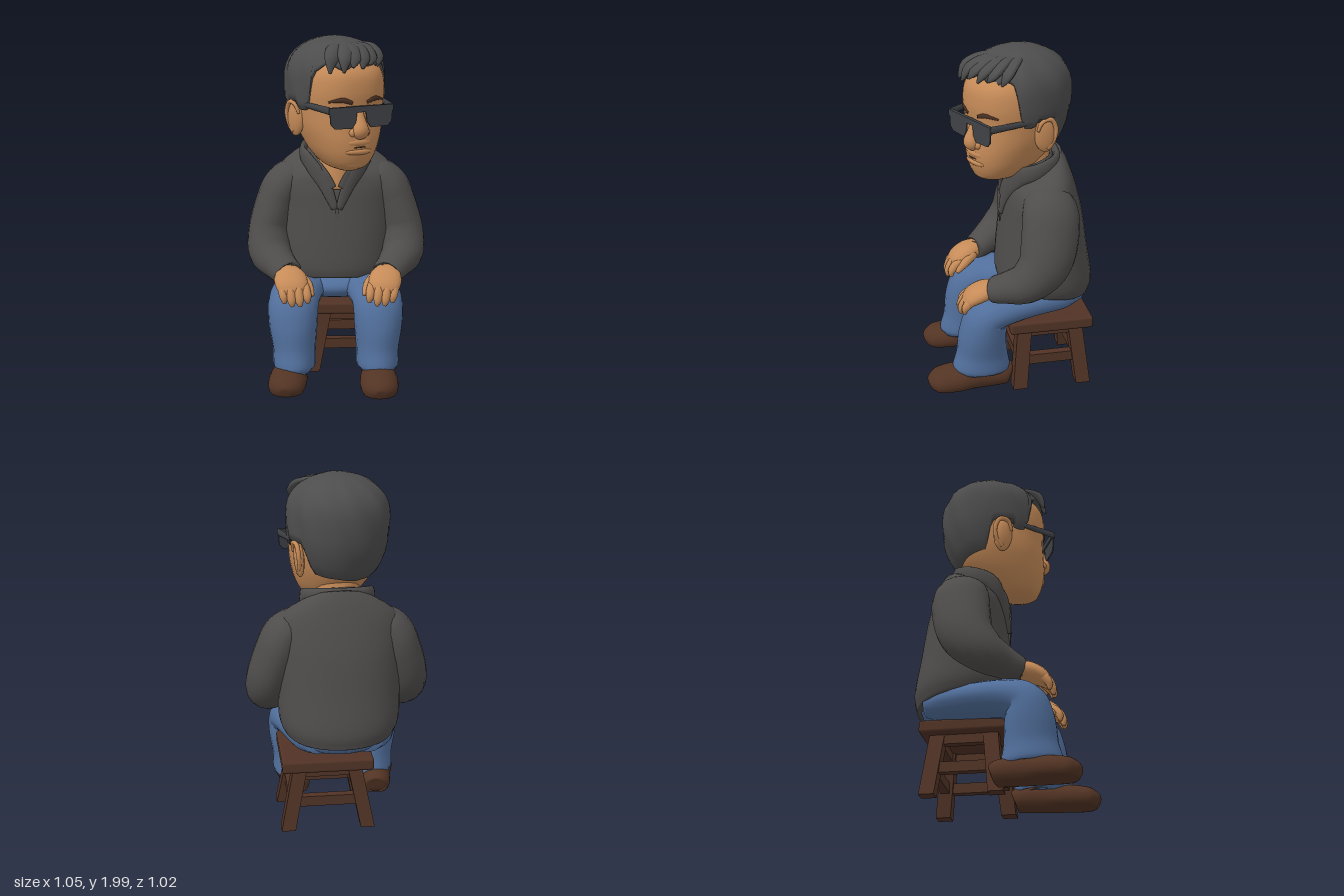
import * as THREE from 'three';
import { RoundedBoxGeometry } from 'three/addons/geometries/RoundedBoxGeometry.js';

const mat = (name, color) => Object.assign(new THREE.MeshStandardMaterial({ color }), { name });
const M = {
  skin: mat('skin', 0xc68b58),
  knit: mat('charcoal knit', 0x4f4d4c),
  hair: mat('dark grey hair', 0x4e4d4d),
  denim: mat('blue denim', 0x516f9c),
  wood: mat('brown wood', 0x513325),
  leather: mat('brown leather', 0x533424),
  glasses: mat('smoky glasses', 0x404246),
  line: mat('brow brown', 0x4a3022),
};
const X = new THREE.Vector3(1, 0, 0), Y = new THREE.Vector3(0, 1, 0);

function add(parent, name, geo, material, x = 0, y = 0, z = 0) {
  const m = new THREE.Mesh(geo, material);
  m.name = name;
  m.position.set(x, y, z);
  parent.add(m);
  return m;
}

// Catmull-Rom interpolation of rows of numbers
function smooth(rows, n = 5) {
  const out = [], last = rows.length - 1;
  for (let i = 0; i < last; i++) {
    const [p, q, r, s] = [rows[Math.max(i - 1, 0)], rows[i], rows[i + 1], rows[Math.min(i + 2, last)]];
    for (let k = 0; k < n; k++) {
      const t = k / n;
      out.push(q.map((_, c) => q[c] + 0.5 * t * (r[c] - p[c] +
        t * (2 * p[c] - 5 * q[c] + 4 * r[c] - s[c] + t * (3 * (q[c] - r[c]) + s[c] - p[c])))));
    }
  }
  out.push(rows[last]);
  return out;
}

// Closed skin over rings of points, with a fan at each end
function loft(rings) {
  const n = rings[0].length, pos = [], idx = [];
  rings.forEach(r => r.forEach(p => pos.push(p.x, p.y, p.z)));
  for (let i = 0; i < rings.length - 1; i++) for (let j = 0; j < n; j++) {
    const a = i * n + j, b = i * n + (j + 1) % n;
    idx.push(a, b, b + n, a, b + n, a + n);
  }
  [0, rings.length - 1].forEach(e => {
    const c = new THREE.Vector3();
    rings[e].forEach(p => c.addScaledVector(p, 1 / n));
    const ci = pos.length / 3;
    pos.push(c.x, c.y, c.z);
    for (let j = 0; j < n; j++) {
      const a = e * n + j, b = e * n + (j + 1) % n;
      idx.push(ci, e ? a : b, e ? b : a);
    }
  });
  const g = new THREE.BufferGeometry();
  g.setAttribute('position', new THREE.Float32BufferAttribute(pos, 3));
  g.setIndex(idx);
  g.computeVertexNormals();
  return g;
}

// Tapered limb along rows of [x, y, z, radiusU, radiusV]
function limb(rows, ref = X, sides = 18, steps = 5) {
  const s = smooth(rows, steps), at = r => new THREE.Vector3(r[0], r[1], r[2]);
  return loft(s.map((r, i) => {
    const T = at(s[Math.min(i + 1, s.length - 1)]).sub(at(s[Math.max(i - 1, 0)])).normalize();
    const u = ref.clone().addScaledVector(T, -ref.dot(T)).normalize();
    const v = T.clone().cross(u);
    return Array.from({ length: sides }, (_, j) => {
      const a = j / sides * Math.PI * 2;
      return at(r).addScaledVector(u, r[3] * Math.cos(a)).addScaledVector(v, r[4] * Math.sin(a));
    });
  }));
}

// Upright body from rows of [y, centreZ, halfWidth, halfDepth, tilt]
const sup = (v, e) => Math.sign(v) * Math.abs(v) ** (2 / e);
function body(rows, e = 2.3, sides = 36) {
  return loft(smooth(rows).map(([y, cz, rx, rz, tilt]) => Array.from({ length: sides }, (_, j) => {
    const a = j / sides * Math.PI * 2, z = rz * sup(Math.cos(a), e);
    return new THREE.Vector3(rx * sup(Math.sin(a), e), y - tilt * z, cz + z);
  })));
}

const flip = (rows, sx) => rows.map(([x, ...r]) => [x * sx, ...r]);
const band = half => [...half, ...flip(half.slice(0, -1).reverse(), -1)];

function hairGeometry() {
  // lower edge by angle from the front, in degrees
  const hem = [[0, 1.85], [54, 1.83], [62, 1.6], [75, 1.59], [80, 1.64], [102, 1.63], [110, 1.46], [180, 1.42]];
  const hemY = deg => {
    const i = Math.max(1, hem.findIndex(h => h[0] >= Math.abs(deg)));
    const [a, b] = [hem[i - 1], hem[i]];
    return THREE.MathUtils.mapLinear(Math.abs(deg), a[0], b[0], a[1], b[1]);
  };
  const rings = [], N = 90, V = 14;
  for (let v = -1; v <= V; v++) {
    rings.push(Array.from({ length: N }, (_, j) => {
      let deg = j / N * 360;
      if (deg > 180) deg -= 360;
      const a = deg * Math.PI / 180, front = Math.abs(deg) < 54;
      const h = hemY(deg) + (front ? 0.02 * Math.sin(a * 9 + 1) : 0);
      const y = h + (1.993 - h) * Math.sin(Math.max(v, 0) / V * Math.PI / 2);
      let k = y > 1.75 ? Math.sqrt(Math.max(0, 1 - ((y - 1.75) / 0.2435) ** 2.4))
        : 1 - 0.27 * Math.max(0, (1.7 - y) / 0.26) ** 2;
      k *= 1 + 0.015 * Math.sin(a * 11 + y * 14);
      // the parting recedes on the left of the brow
      k *= 1 - 0.1 * Math.max(0, 1 - Math.abs(deg - 28) / 34);
      if (v < 0) k *= 0.82;
      return new THREE.Vector3(0.28 * k * sup(Math.sin(a), 2.15), y,
        (Math.cos(a) > 0 ? 0.315 : 0.295) * k * sup(Math.cos(a), 2.15));
    }));
  }
  return loft(rings);
}

function makeHead() {
  const g = new THREE.Group();
  g.name = 'head';
  add(g, 'face', body([[1.245, 0.14, 0.05, 0.08, 0], [1.275, 0.13, 0.115, 0.15, 0], [1.34, 0.1, 0.168, 0.21, 0],
    [1.42, 0.07, 0.205, 0.25, 0], [1.5, 0.05, 0.23, 0.265, 0], [1.6, 0.035, 0.243, 0.275, 0], [1.7, 0.035, 0.25, 0.285, 0],
    [1.8, 0.025, 0.238, 0.28, 0], [1.87, 0.01, 0.19, 0.23, 0], [1.9, 0, 0.12, 0.15, 0]]), M.skin);
  add(g, 'hair', hairGeometry(), M.hair);
  // fringe locks swept to the right, given by their tips
  [[-0.17, 1.81, 0.285], [-0.1, 1.815, 0.315], [-0.04, 1.84, 0.312], [0.025, 1.83, 0.298], [0.085, 1.845, 0.27], [0.15, 1.83, 0.225]]
    .forEach(([x, y, z]) => add(g, 'fringeLock', limb([[x * 0.5 + 0.04, 1.955, z * 0.35, 0.02, 0.01],
      [x * 0.75 + 0.035, 1.935, z * 0.65, 0.045, 0.02], [x + 0.02, 1.885, z * 0.9, 0.04, 0.02],
      [x, y, z, 0.008, 0.006]], X, 8, 4), M.hair));
  add(g, 'nose', limb([[0, 1.63, 0.295, 0.02, 0.015], [0, 1.56, 0.315, 0.028, 0.025], [0, 1.495, 0.328, 0.046, 0.04],
    [0, 1.465, 0.318, 0.04, 0.03], [0, 1.45, 0.3, 0.015, 0.012]]), M.skin);
  add(g, 'mouth', limb([[-0.075, 1.388, 0.289, 0.004, 0.01], [0, 1.395, 0.316, 0.004, 0.01],
    [0.075, 1.39, 0.289, 0.003, 0.01]], Y, 8), M.line);
  for (const [y, r] of [[1.42, 0.028], [1.368, 0.022]]) {
    add(g, 'lip', new THREE.SphereGeometry(1, 16, 10), M.skin, 0, y, 0.293).scale.set(0.085, r, 0.032);
  }
  add(g, 'chin', new THREE.SphereGeometry(1, 16, 10), M.skin, 0, 1.305, 0.25).scale.set(0.085, 0.045, 0.045);
  for (const s of [-1, 1]) {
    add(g, 'nostrilWing', new THREE.SphereGeometry(0.025, 12, 8), M.skin, s * 0.04, 1.478, 0.308);
    add(g, 'eyebrow', limb(flip([[0.045, 1.645, 0.307, 0.012, 0.012], [0.1, 1.663, 0.295, 0.017, 0.014],
      [0.165, 1.65, 0.255, 0.006, 0.012]], s), Y, 8), M.line);
    const ear = add(g, 'ear', new THREE.SphereGeometry(1, 16, 12), M.skin, s * 0.247, 1.535, 0.005);
    ear.scale.set(0.028, 0.105, 0.062);
    ear.rotation.set(0.15, s * -0.35, 0);
    add(g, 'earRim', limb(flip([[0.254, 1.565, 0.055, 0.008, 0.008], [0.267, 1.62, 0.035, 0.014, 0.012], [0.277, 1.625, -0.02, 0.014, 0.013],
      [0.28, 1.565, -0.05, 0.014, 0.013], [0.27, 1.495, -0.04, 0.012, 0.012], [0.257, 1.455, -0.005, 0.012, 0.014]], s), X, 8), M.skin);
    // glasses
    const lens = new THREE.Shape([[0.025, 1.615], [0.198, 1.625], [0.19, 1.535], [0.165, 1.51], [0.06, 1.506], [0.035, 1.54]]
      .map(([x, y]) => new THREE.Vector2(s * x, y)));
    add(g, 'lens', new THREE.ExtrudeGeometry(lens, { depth: 0.008, bevelEnabled: false }), M.glasses, 0, 0, 0.328);
    add(g, 'glassesTemple', limb(flip([[0.195, 1.612, 0.33, 0.022, 0.009], [0.225, 1.62, 0.2, 0.018, 0.009],
      [0.25, 1.627, 0.1, 0.015, 0.009], [0.262, 1.635, 0.02, 0.012, 0.009]], s), Y, 8), M.glasses);
  }
  add(g, 'glassesBar', new THREE.BoxGeometry(0.4, 0.034, 0.02), M.glasses, 0, 1.612, 0.33);
  g.position.set(-0.01, 0, -0.08);
  g.rotation.y = 0.43;
  return g;
}

function makeStool() {
  const g = new THREE.Group();
  g.name = 'stool';
  add(g, 'seat', new RoundedBoxGeometry(0.52, 0.07, 0.49, 2, 0.015), M.wood, 0, 0.395, 0);
  for (const sx of [-1, 1]) for (const sz of [-1, 1]) {
    const leg = new THREE.BoxGeometry(0.08, 0.37, 0.085), p = leg.attributes.position;
    for (let i = 0; i < p.count; i++) {
      const low = p.getY(i) < 0;
      p.setX(i, p.getX(i) + sx * (low ? 0.228 : 0.155));
      p.setZ(i, p.getZ(i) + sz * (low ? 0.19 : 0.15));
    }
    leg.computeVertexNormals();
    add(g, 'stoolLeg', leg, M.wood, 0, 0.185, 0);
  }
  for (const s of [-1, 1]) for (const [y, h, k] of [[0.165, 0.06, 1], [0.335, 0.055, 0.86]]) {
    add(g, 'sideRail', new THREE.BoxGeometry(0.05, h, 0.34 * k), M.wood, s * 0.195 * k, y, 0);
    add(g, 'crossRail', new THREE.BoxGeometry(0.39 * k, h, 0.05), M.wood, 0, y, s * 0.174 * k);
  }
  g.position.set(0.085, 0, -0.212);
  return g;
}

// Rounded upper pressed flat against the ground
function shoeGeometry() {
  const geo = limb([[0, 0.06, 0.02, 0.05, 0.05], [0, 0.065, 0.05, 0.085, 0.075], [0, 0.065, 0.2, 0.092, 0.085],
    [0, 0.055, 0.33, 0.11, 0.085], [0, 0.045, 0.44, 0.1, 0.075], [0, 0.04, 0.485, 0.065, 0.05], [0, 0.035, 0.503, 0.03, 0.025]], X, 24);
  const p = geo.attributes.position;
  for (let i = 0; i < p.count; i++) p.setY(i, Math.max(p.getY(i), 0.006));
  geo.computeVertexNormals();
  return geo;
}

export function createModel() {
  const g = new THREE.Group();
  g.name = 'seatedMan';
  g.add(makeHead(), makeStool());
  add(g, 'neck', limb([[0, 1.48, -0.12, 0.12, 0.13], [0, 1.3, -0.135, 0.13, 0.135], [0, 1.2, -0.122, 0.12, 0.135],
    [0, 1.1, -0.112, 0.1, 0.135]]), M.skin);
  // sweater
  add(g, 'sweaterBody', body([[0.56, -0.22, 0.24, 0.2, -0.15], [0.545, -0.225, 0.3, 0.26, -0.15], [0.57, -0.225, 0.325, 0.275, -0.15],
    [0.64, -0.228, 0.345, 0.282, -0.1], [0.8, -0.217, 0.35, 0.262, 0], [1, -0.21, 0.355, 0.235, 0.05], [1.12, -0.198, 0.36, 0.212, 0.15],
    [1.2, -0.187, 0.342, 0.19, 0.3], [1.255, -0.175, 0.275, 0.173, 0.45], [1.29, -0.165, 0.19, 0.155, 0.6]], 2.15), M.knit);
  add(g, 'sweaterCollar', limb(band([[0.012, 1, 0.028, 0.02, 0.012], [0.07, 1.14, 0.013, 0.04, 0.015], [0.155, 1.26, -0.04, 0.05, 0.018],
    [0.195, 1.305, -0.15, 0.05, 0.02], [0.14, 1.34, -0.26, 0.045, 0.022], [0, 1.345, -0.292, 0.045, 0.022]]), Y, 12), M.knit);
  add(g, 'shirtCollar', limb(band([[0.03, 1.12, 0.027, 0.03, 0.01], [0.08, 1.2, 0.005, 0.04, 0.012], [0.135, 1.27, -0.06, 0.04, 0.012],
    [0.16, 1.31, -0.15, 0.04, 0.012], [0.11, 1.335, -0.235, 0.04, 0.012], [0, 1.345, -0.26, 0.04, 0.012]]), Y, 12), M.knit);
  add(g, 'zipPull', new THREE.BoxGeometry(0.016, 0.06, 0.01), M.knit, 0, 0.97, 0.03);
  add(g, 'trouserSeat', new THREE.SphereGeometry(1, 28, 16), M.denim, 0, 0.51, -0.22).scale.set(0.3, 0.095, 0.25);
  for (const s of [-1, 1]) {
    add(g, 'sleeve', limb(flip([[0.18, 1.19, -0.19, 0.05, 0.08], [0.25, 1.16, -0.19, 0.1, 0.135], [0.31, 1.1, -0.195, 0.12, 0.16],
      [0.35, 1, -0.19, 0.125, 0.165], [0.395, 0.84, -0.15, 0.125, 0.155], [0.39, 0.725, -0.05, 0.125, 0.12],
      [0.33, 0.67, 0.06, 0.1, 0.088], [0.285, 0.645, 0.125, 0.088, 0.07], [0.283, 0.644, 0.13, 0.06, 0.05]], s)), M.knit);
    // hand resting on the knee
    add(g, 'palm', limb(flip([[0.285, 0.65, 0.1, 0.058, 0.048], [0.275, 0.637, 0.18, 0.092, 0.052],
      [0.262, 0.6, 0.25, 0.09, 0.045], [0.255, 0.56, 0.285, 0.065, 0.025]], s)), M.skin);
    for (let i = 0; i < 4; i++) {
      const x = 0.188 + i * 0.044, d = i % 3 ? 0 : 0.015;
      add(g, 'finger', limb(flip([[x, 0.605, 0.23, 0.02, 0.02], [x - 0.003, 0.585, 0.28 - d, 0.026, 0.026],
        [x - 0.01, 0.535 + d, 0.308 - d, 0.024, 0.022], [x - 0.014, 0.5 + d, 0.31 - d, 0.011, 0.01]], s), X, 10, 4), M.skin);
    }
    add(g, 'thumb', limb(flip([[0.22, 0.635, 0.15, 0.028, 0.032], [0.175, 0.6, 0.21, 0.03, 0.028],
      [0.148, 0.55, 0.265, 0.012, 0.012]], s), X, 10), M.skin);
    add(g, 'trouserLeg', limb(flip([[0.13, 0.52, -0.42, 0.08, 0.06], [0.14, 0.515, -0.3, 0.14, 0.09], [0.19, 0.51, -0.08, 0.15, 0.095],
      [0.225, 0.49, 0.08, 0.148, 0.105], [0.235, 0.45, 0.16, 0.145, 0.12], [0.235, 0.35, 0.18, 0.14, 0.14],
      [0.23, 0.22, 0.185, 0.125, 0.15], [0.23, 0.115, 0.19, 0.122, 0.17], [0.23, 0.11, 0.19, 0.08, 0.12]], s < 0 ? -1.1 : 1)), M.denim);
    const left = s > 0;
    add(g, left ? 'leftShoe' : 'rightShoe', shoeGeometry(), M.leather, left ? 0.23 : -0.25, 0, left ? 0 : -0.045)
      .rotation.y = left ? 0 : -0.12;
  }
  return g;
}
